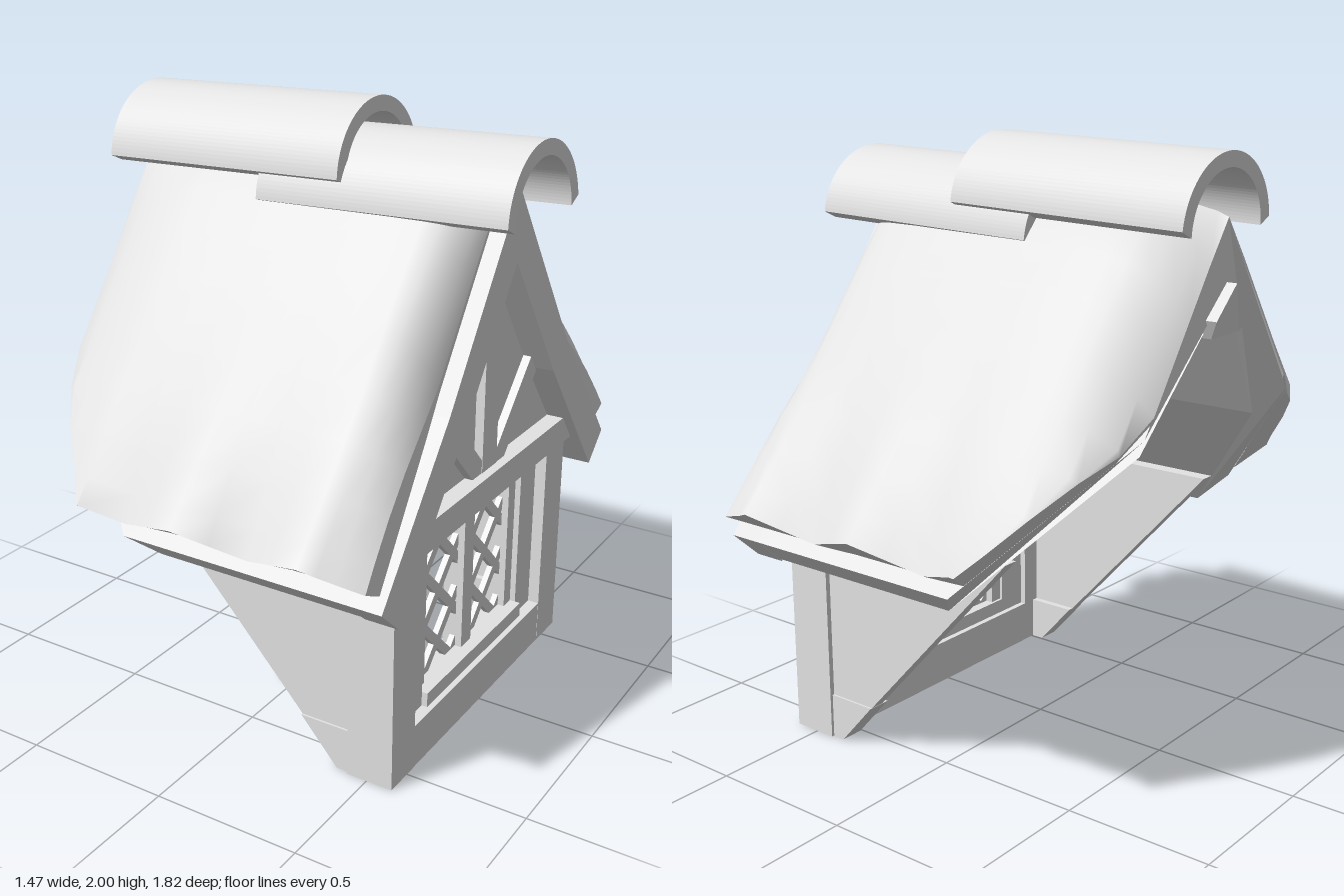
import * as THREE from 'three';
import { mergeVertices } from 'three/addons/utils/BufferGeometryUtils.js';

const plaster = new THREE.MeshStandardMaterial({ color: 0xe4e4e4, side: THREE.DoubleSide });
plaster.name = 'pale grey';

// the whole dormer is cut at the back by the slope of the main roof
const cut = (y) => Math.max(-0.7, 0.38 - (y - 0.01) * 0.9076);
const lerp = THREE.MathUtils.lerp;

// piecewise linear lookup in a list of [key, value]
function lookup(table, k) {
  if (k <= table[0][0]) return table[0][1];
  for (let i = 1; i < table.length; i++) {
    const [a, va] = table[i - 1], [b, vb] = table[i];
    if (k <= b) return lerp(va, vb, (k - a) / (b - a));
  }
  return table[table.length - 1][1];
}

export function createModel() {
  const model = new THREE.Group();
  model.name = 'dormerWindow';

  const add = (name, geometry) => {
    const mesh = new THREE.Mesh(geometry, plaster);
    mesh.name = name;
    model.add(mesh);
    return mesh;
  };
  const box = (name, x0, x1, y0, y1, z0, z1) =>
    add(name, new THREE.BoxGeometry(x1 - x0, y1 - y0, z1 - z0))
      .position.set((x0 + x1) / 2, (y0 + y1) / 2, (z0 + z1) / 2);

  // straight bar in the window plane between two (z, y) points
  const bar = (name, z0, y0, z1, y1, width, x0, x1) => {
    const mesh = add(name, new THREE.BoxGeometry(x1 - x0, Math.hypot(z1 - z0, y1 - y0), width));
    mesh.position.set((x0 + x1) / 2, (y0 + y1) / 2, (z0 + z1) / 2);
    mesh.rotation.x = Math.atan2(z1 - z0, y1 - y0);
  };

  // (z, y) profile swept along x; the back end can follow a rule back(y)
  const sweep = (name, profile, side, x0, x1, back) => {
    const shape = new THREE.Shape(profile.map(([z, y]) => new THREE.Vector2(-z * side, y)));
    const g = new THREE.ExtrudeGeometry(shape, { depth: x1 - x0, bevelEnabled: false });
    g.rotateY(Math.PI / 2).translate(x0, 0, 0);
    if (back) {
      const p = g.attributes.position;
      for (let i = 0; i < p.count; i++) if (p.getX(i) < x0 + 0.001) p.setX(i, back(p.getY(i)));
      g.computeVertexNormals();
    }
    add(name, g);
  };

  // surface from a grid of points
  const patch = (name, rows, cols, point, side, flat) => {
    const pos = [], index = [];
    for (let r = 0; r < rows; r++) for (let c = 0; c < cols; c++) {
      const [x, y, z] = point(r, c);
      pos.push(x, y, z * side);
    }
    for (let r = 0; r < rows - 1; r++) for (let c = 0; c < cols - 1; c++) {
      const a = r * cols + c, b = a + 1, d = a + cols, e = d + 1;
      if (side > 0) index.push(a, d, b, b, d, e);
      else index.push(a, b, d, b, e, d);
    }
    let g = new THREE.BufferGeometry();
    g.setAttribute('position', new THREE.Float32BufferAttribute(pos, 3));
    g.setIndex(index);
    g = mergeVertices(g, 1e-4);
    if (flat) g = g.toNonIndexed();
    g.computeVertexNormals();
    add(name, g);
  };

  // thatch: outer slope rows, scalloped eave, rolled down at the gable and at the back
  const slope = [[0, 1.83], [0.12, 1.83], [0.24, 1.69], [0.33, 1.58], [0.45, 1.43], [0.56, 1.28],
    [0.66, 1.16], [0.76, 1.04], [0.85, 0.935], [0.91, 0.87]];
  const columns = [-0.7, -0.66, -0.58, -0.5, -0.43, -0.36, -0.22, -0.1, 0.01, 0.12, 0.23, 0.34, 0.45, 0.5, 0.54, 0.58, 0.6];
  const scallop = [[-0.45, 0.05], [-0.36, 0.03], [-0.22, 0.08], [0.01, 0], [0.23, 0.08], [0.45, 0], [0.6, 0.065]];
  const roll = [[-0.7, 0.95], [-0.66, 0.65], [-0.58, 0.33], [-0.5, 0.14], [-0.36, 0],
    [0.42, 0], [0.5, 0.12], [0.54, 0.27], [0.58, 0.55], [0.6, 0.9]];
  const boardTop = (z) => (z < 0.41 ? 1.78 - 1.44 * z : 1.19 - 1.227 * (z - 0.41));
  const inner = (r, x) => {
    const z = slope[r][0] * 0.83, y = boardTop(z);
    return [Math.max(x, cut(y)), y, z];
  };
  const outer = (r, c) => {
    const [z, y] = slope[r], col = columns[c];
    const fade = Math.max(0, (z - 0.45) / 0.46);
    const [, yi, zi] = inner(r, col);
    let x = Math.max(col, cut(y)), py, pz;
    for (let i = 0; i < 15; i++) {
      const dent = lookup(scallop, x) * fade * fade;
      const k = lookup(roll, x) * (x > 0 ? 1 - 0.85 * fade : 1);
      py = lerp(y - dent * 0.9, yi, k);
      pz = lerp(z - dent, zi, k);
      x = Math.max(col, cut(py));
    }
    return [x + (col > 0.5 ? 0.3 * fade * (col - 0.5) : 0), py, pz];
  };
  const last = slope.length - 1, n = columns.length;

  const boards = [[0, 1.78], [0.41, 1.19], [0.785, 0.725], [0.685, 0.632], [0.32, 1.1], [0, 1.55]];
  const underBoards = [[0, 1.78], [0.41, 1.19], [0.785, 0.725], [0.695, 0.643], [0.325, 1.11], [0, 1.57]];

  for (const s of [1, -1]) {
    // roof
    patch('thatch', slope.length, n, outer, s, false);
    patch('thatchEave', 2, n, (r, c) => (r ? inner(last, outer(last, c)[0]) : outer(last, c)), s, true);
    patch('thatchBack', slope.length, 2, (r, c) => (c ? outer(r, 0) : inner(r, -0.7)), s, true);
    patch('thatchFront', slope.length, 2, (r, c) => (c ? inner(r, outer(r, n - 1)[0]) : outer(r, n - 1)), s, true);
    sweep('roofBoards', underBoards, s, -0.7, 0.545, cut);
    sweep('bargeBoard', boards, s, 0.54, 0.655);

    // gable
    sweep('gablePanel', [[0, 1.62], [0.34, 1.12], [0.6, 0.79], [0, 0.79]], s, 0.51, 0.56);
    bar('gableStrut', s * 0.04, 0.84, s * 0.33, 1.14, 0.075, 0.54, 0.588);

    // side walls
    const wall = new THREE.Shape([[0.45, 0], [0.39, 0], [cut(0.78), 0.78], [0.45, 0.78]]
      .map(([x, y]) => new THREE.Vector2(x, y)));
    const wallGeo = new THREE.ExtrudeGeometry(wall, { depth: 0.05, bevelEnabled: false });
    add('sideWall', wallGeo).position.z = s > 0 ? 0.53 : -0.58;
    const foot = new THREE.Shape([[0.45, 0], [0.385, 0], [cut(0.15), 0.15], [0.45, 0.15]]
      .map(([x, y]) => new THREE.Vector2(x, y)));
    const footGeo = new THREE.ExtrudeGeometry(foot, { depth: 0.08, bevelEnabled: false });
    add('sideFootBoard', footGeo).position.z = s > 0 ? 0.507 : -0.587;

    // window surround
    const pair = (name, x0, x1, y0, y1, z0, z1) =>
      box(name, x0, x1, y0, y1, Math.min(s * z0, s * z1), Math.max(s * z0, s * z1));
    pair('cornerPost', 0.43, 0.59, 0, 0.78, 0.455, 0.597);
    pair('jamb', 0.45, 0.55, 0.15, 0.78, 0.34, 0.46);
    pair('casementStile', 0.46, 0.53, 0.15, 0.78, 0.29, 0.345);
    pair('casementTopRail', 0.46, 0.53, 0.745, 0.78, 0, 0.3);

    // diagonal lattice, clipped to the pane
    const za = 0.025, zb = 0.3, ya = 0.19, yb = 0.755, mid = (za + zb) / 2;
    for (const d of [1, -1]) {
      for (let y = 0.09; y < 0.95; y += 0.19) {
        const limits = [mid + d * (ya - y), mid + d * (yb - y)].sort((a, b) => a - b);
        const z0 = Math.max(za, limits[0]), z1 = Math.min(zb, limits[1]);
        if (z1 - z0 < 0.02) continue;
        bar('latticeBar', s * z0, y + d * (z0 - mid), s * z1, y + d * (z1 - mid), 0.033, 0.487, 0.507);
      }
    }
  }

  // central timbers
  box('sillBeam', 0.43, 0.589, 0, 0.15, -0.46, 0.46);
  box('windowSill', 0.45, 0.57, 0.15, 0.2, -0.34, 0.34);
  box('mullion', 0.46, 0.53, 0.19, 0.76, -0.034, 0.034);
  box('tieBeam', 0.45, 0.62, 0.765, 0.86, -0.58, 0.58);
  box('kingPost', 0.52, 0.59, 0.85, 1.57, -0.05, 0.05);

  // ridge beam poking out at the back, with a chamfered lower end
  sweep('ridgeBeam', [[0, 1.59], [0.11, 1.49], [0.08, 1.43], [-0.08, 1.43], [-0.11, 1.49]], 1, -0.735, 0.5,
    (y) => (y < 1.45 ? -0.7 : -0.735));

  // two overlapping half-round ridge tiles
  for (const [name, x0, x1, y] of [['backRidgeTile', -0.695, 0.17, 1.752], ['frontRidgeTile', -0.125, 0.735, 1.681]]) {
    const arch = new THREE.Shape();
    arch.absarc(0, 0, 0.246, 0.1, Math.PI - 0.1, false);
    arch.absarc(0, 0, 0.195, Math.PI, 0, true);
    const g = new THREE.ExtrudeGeometry(arch, { depth: x1 - x0, bevelEnabled: false, curveSegments: 28 });
    g.rotateY(Math.PI / 2).translate((x0 - x1) / 2, 0, 0).scale(1, 0.96, 1);
    const tile = add(name, g);
    tile.position.set((x0 + x1) / 2, y, 0);
    tile.rotation.z = 0.03;
  }
  return model;
}
